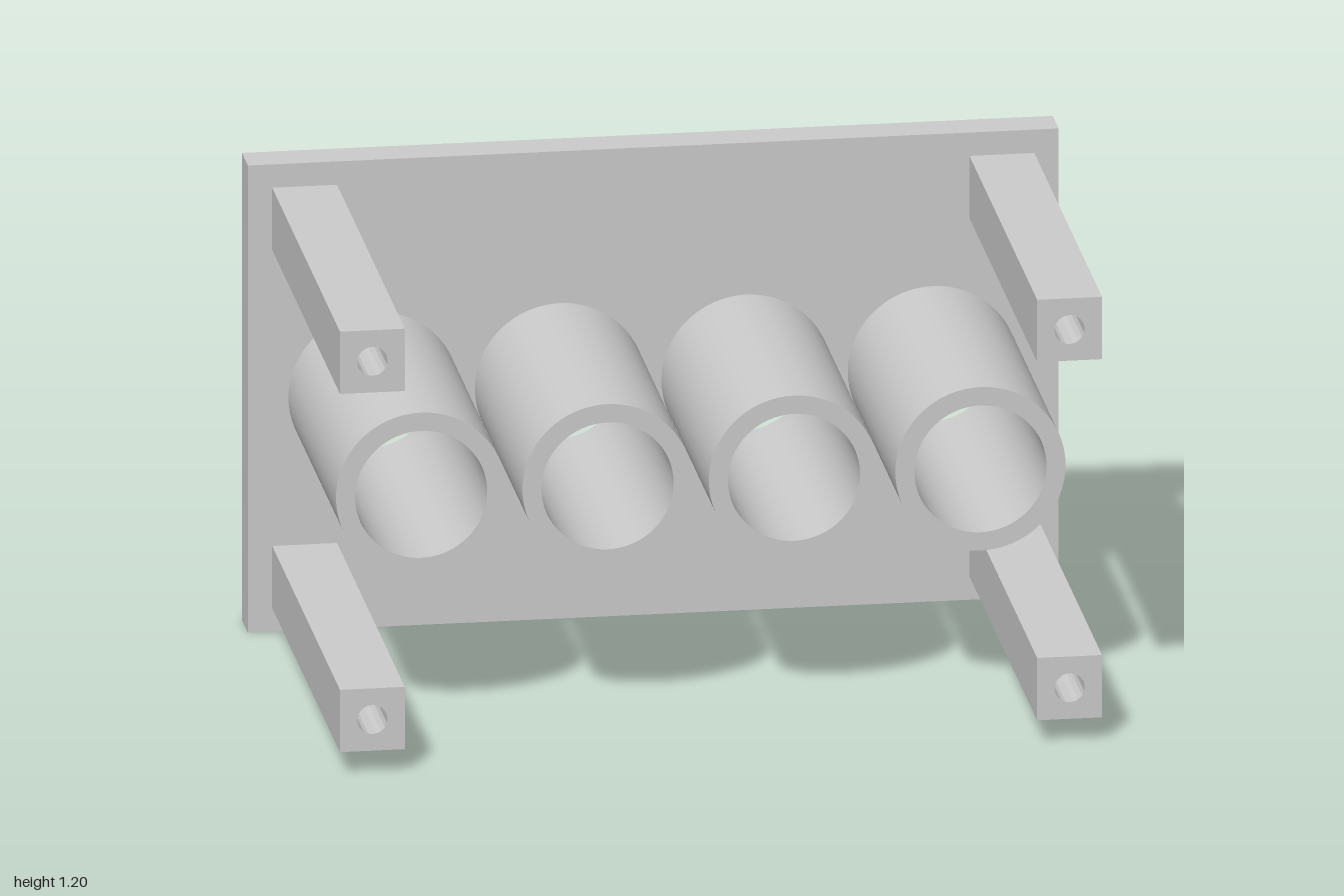
import * as THREE from 'three';
import { toCreasedNormals } from 'three/addons/utils/BufferGeometryUtils.js';

const BACK = -0.62, PLATE_FRONT = -0.52, TUBE_FRONT = 0.28, POST_FRONT = 0.62;
const SCREW_R = 0.037, BORE_R = 0.163, TUBE_R = 0.21, MOUTH_R = 0.185;
const material = new THREE.MeshStandardMaterial({ color: 0xcccccc });

// Rectangle with round holes [x, y, r], extruded from z0 to z1
function drilledBlock(x0, y0, x1, y1, z0, z1, holes) {
  const shape = new THREE.Shape([
    new THREE.Vector2(x0, y0), new THREE.Vector2(x1, y0),
    new THREE.Vector2(x1, y1), new THREE.Vector2(x0, y1),
  ]);
  for (const [x, y, r] of holes) {
    shape.holes.push(new THREE.Path().absarc(x, y, r, 0, Math.PI * 2, true));
  }
  const geometry = new THREE.ExtrudeGeometry(shape, { depth: z1 - z0, bevelEnabled: false, curveSegments: 64 });
  geometry.translate(0, 0, z0);
  return toCreasedNormals(geometry, 0.5);
}

export function createModel() {
  const group = new THREE.Group();
  const add = (name, geometry, x = 0, y = 0) => {
    const mesh = new THREE.Mesh(geometry, material);
    mesh.name = name;
    mesh.position.set(x, y, 0);
    group.add(mesh);
  };

  const tubeXs = [-0.69, -0.23, 0.23, 0.69];
  const corners = [[-0.86, 0.14], [0.86, 0.14], [-0.86, 1.06], [0.86, 1.06]];

  // Back plate with four tube openings and four screw holes
  add('backPlate', drilledBlock(-1, 0, 1, 1.2, BACK, PLATE_FRONT, [
    ...tubeXs.map((x) => [x, 0.6, MOUTH_R]),
    ...corners.map(([x, y]) => [x, y, SCREW_R]),
  ]));

  // Tubes: outer wall, front rim, bore through the plate, chamfered mouth at the back
  const profile = [
    [TUBE_R, PLATE_FRONT], [TUBE_R, TUBE_FRONT], [BORE_R, TUBE_FRONT],
    [BORE_R, BACK + 0.03], [MOUTH_R, BACK],
  ].map(([r, z]) => new THREE.Vector2(r, z));
  const tube = toCreasedNormals(new THREE.LatheGeometry(profile, 64).rotateX(Math.PI / 2), 0.5);
  tubeXs.forEach((x) => add('tube', tube, x, 0.6));

  // Square corner posts drilled end to end
  const post = drilledBlock(-0.08, -0.08, 0.08, 0.08, PLATE_FRONT, POST_FRONT, [[0, 0, SCREW_R]]);
  corners.forEach(([x, y]) => add('cornerPost', post, x, y));

  return group;
}
